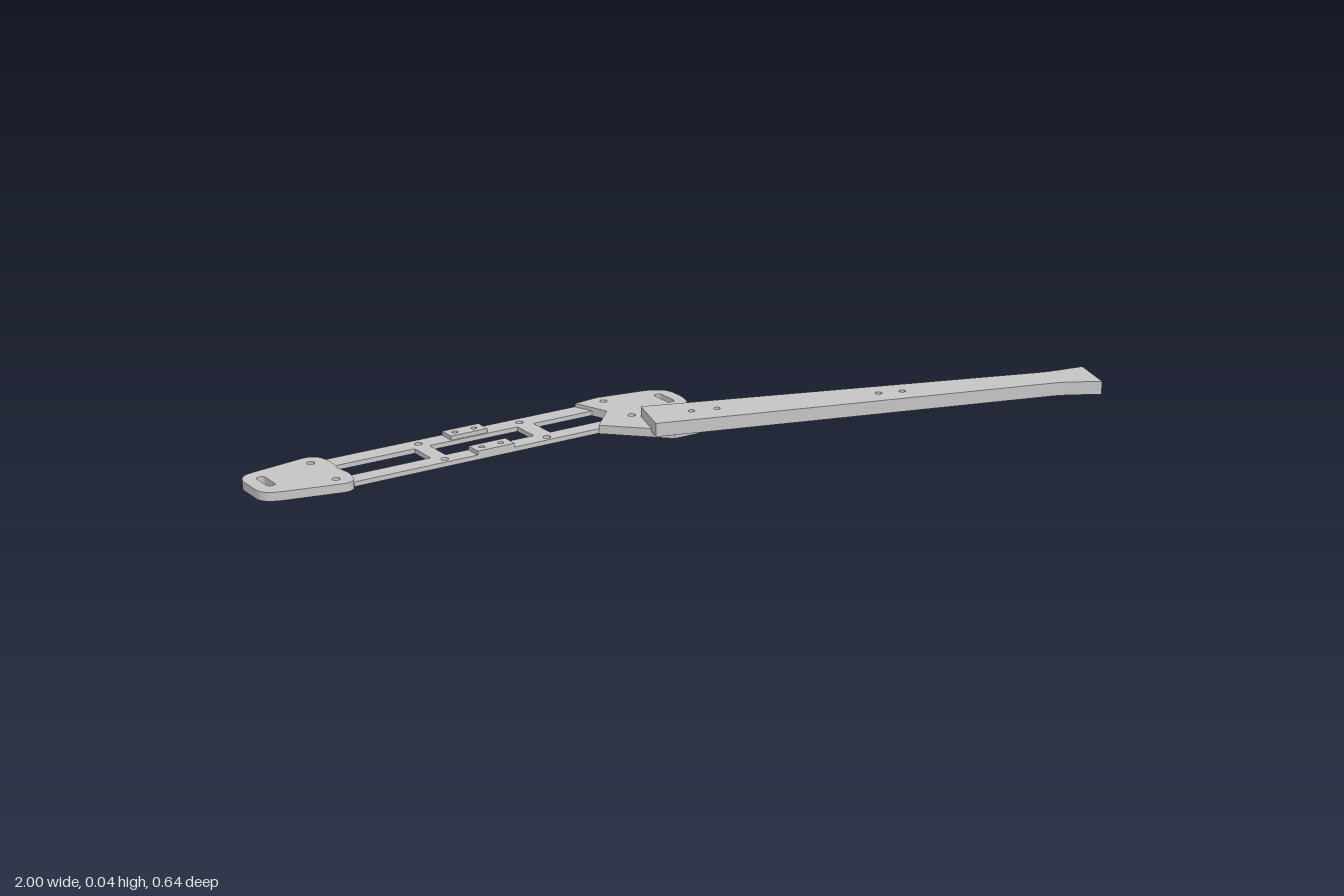
import * as THREE from 'three';

const metal = new THREE.MeshStandardMaterial({ color: 0xc4c4c4 });
metal.name = 'grey metal';

// Closed outline from clockwise [x, z, cornerRadius] points, drawn anticlockwise with z flipped for the later tilt
function outline(points, Kind = THREE.Shape) {
  const path = new Kind();
  const corners = points.map(([x, z, r = 0]) => ({ p: new THREE.Vector2(x, -z), r })).reverse();
  const n = corners.length;
  corners.forEach(({ p, r }, i) => {
    const before = corners[(i + n - 1) % n].p;
    const after = corners[(i + 1) % n].p;
    const a = p.clone().add(before.clone().sub(p).setLength(r));
    const b = p.clone().add(after.clone().sub(p).setLength(r));
    if (i === 0) path.moveTo(a.x, a.y);
    else path.lineTo(a.x, a.y);
    if (r > 0) path.quadraticCurveTo(p.x, p.y, b.x, b.y);
  });
  path.closePath();
  return path;
}

const rect = (x0, x1, z0, z1, r = 0) => [[x0, z0, r], [x1, z0, r], [x1, z1, r], [x0, z1, r]];
const opening = (...args) => outline(rect(...args), THREE.Path);

function boltHole(x, z, r = 0.009) {
  const hole = new THREE.Path();
  hole.absarc(x, -z, r, 0, Math.PI * 2);
  return hole;
}

// Flat plate lying between heights y0 and y1
function plate(name, points, holes, y0, y1) {
  const shape = outline(points);
  shape.holes.push(...holes);
  const geometry = new THREE.ExtrudeGeometry(shape, { depth: y1 - y0, bevelEnabled: false, curveSegments: 10 });
  geometry.rotateX(-Math.PI / 2);
  geometry.translate(0, y0, 0);
  const mesh = new THREE.Mesh(geometry, metal);
  mesh.name = name;
  return mesh;
}

export function createModel() {
  const model = new THREE.Group();
  model.name = 'hingedArmFrame';
  const railZ = [-0.282, -0.16];

  // Ladder frame: two rails joined by two cross bars
  const windows = [[-0.8, -0.578], [-0.54, -0.31], [-0.267, -0.085]]
    .map(([a, b]) => opening(a, b, -0.257, -0.184));
  const railHoles = [-0.555, -0.29].flatMap(x => railZ.map(z => boltHole(x, z)));
  model.add(plate('ladderFrame', rect(-0.81, -0.07, -0.306, -0.141), [...windows, ...railHoles], 0.001, 0.012));

  // Raised pads on the rails
  railZ.forEach((z, i) => {
    const holes = [-0.46, -0.411].map(x => boltHole(x, z, 0.007));
    model.add(plate(i ? 'frontPad' : 'backPad', rect(-0.482, -0.387, z - 0.021, z + 0.021), holes, 0.012, 0.022));
  });

  // Tapered end plate with an adjusting slot
  model.add(plate('endPlate', [
    [-1, -0.285, 0.035], [-0.965, -0.298, 0.02], [-0.795, -0.325, 0.035], [-0.783, -0.268, 0.015],
    [-0.79, -0.223], [-0.783, -0.178, 0.015], [-0.795, -0.117, 0.035], [-0.968, -0.156, 0.02], [-1, -0.173, 0.025],
  ], [opening(-0.968, -0.948, -0.264, -0.2, 0.009), ...railZ.map(z => boltHole(-0.825, z))], 0, 0.0205));

  // Pivot plate, notched on the ladder side and reaching under the arm
  model.add(plate('pivotPlate', [
    [-0.125, -0.304], [-0.06, -0.313, 0.01], [0.085, -0.29, 0.03], [0.112, -0.262, 0.02],
    [0.112, -0.19, 0.03], [0.09, -0.148, 0.02], [0.06, -0.146, 0.008], [0.06, -0.05],
    [0.03, -0.015], [-0.036, -0.015], [-0.162, -0.141], [-0.093, -0.216],
  ], [opening(0.061, 0.081, -0.254, -0.188, 0.009), ...railZ.map(z => boltHole(-0.06, z))], 0, 0.0205));

  // Long arm with a flared tip
  model.add(plate('arm', [
    [-0.048, -0.139], [0.904, 0.19, 0.03], [1, 0.206], [0.962, 0.319], [0.877, 0.27, 0.03], [-0.085, -0.019],
  ], [[0.032, -0.048], [0.091, -0.03], [0.468, 0.091], [0.524, 0.11]].map(([x, z]) => boltHole(x, z, 0.008)),
  0.0125, 0.045));

  return model;
}
